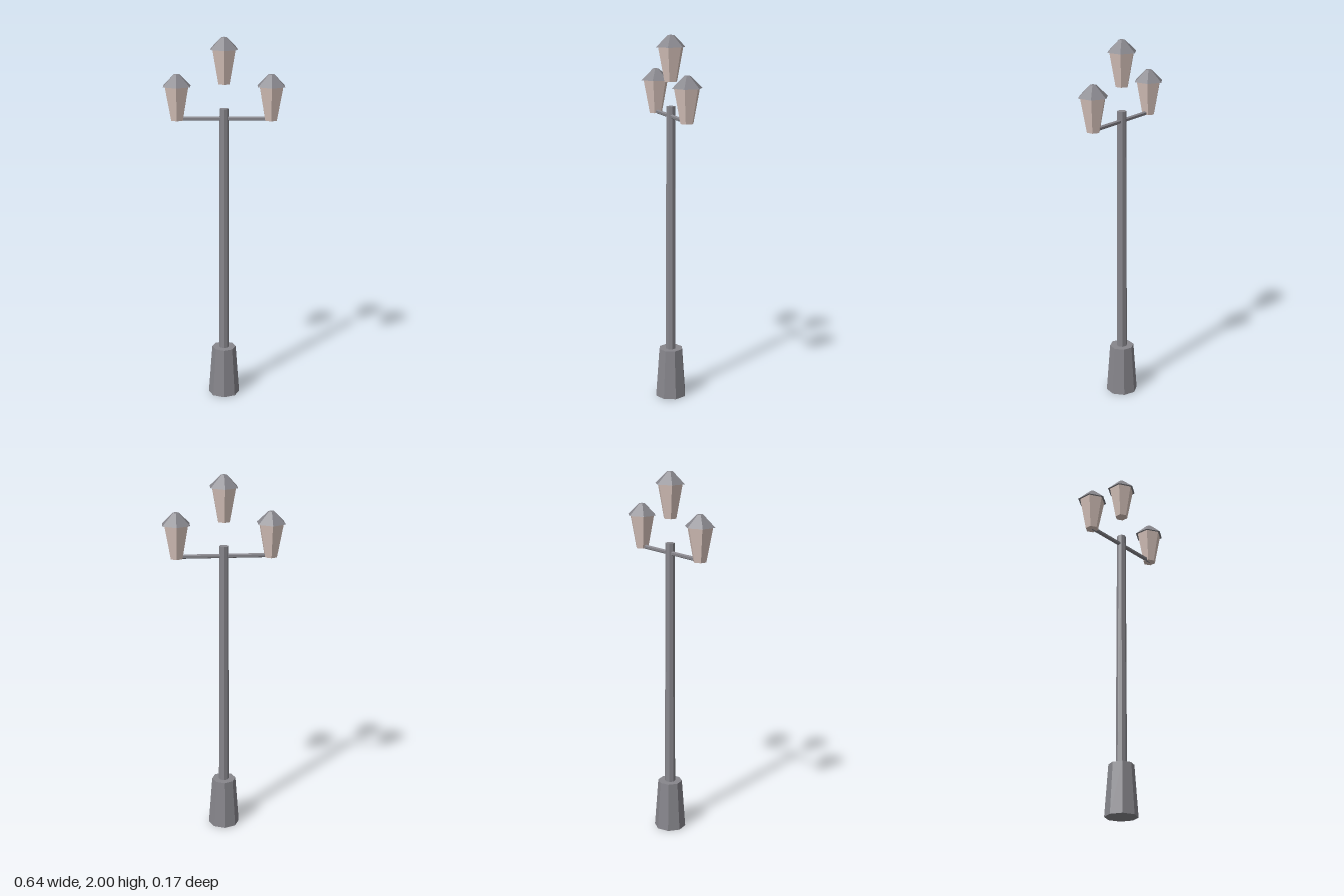
import * as THREE from 'three';

export function createModel() {
  const model = new THREE.Group();
  model.name = 'streetLamp';

  const material = (name, color) => {
    const m = new THREE.MeshStandardMaterial({ color, flatShading: true });
    m.name = name;
    return m;
  };
  const metal = material('grey metal', 0x87868c);
  const glass = material('pale glass', 0xd8c4bc);

  // Upright faceted cylinder spanning y0 to y1
  function prism(name, mat, rTop, rBottom, y0, y1, sides, parent) {
    const geometry = new THREE.CylinderGeometry(rTop, rBottom, y1 - y0, sides);
    geometry.translate(0, (y0 + y1) / 2, 0);
    const mesh = new THREE.Mesh(geometry, mat);
    mesh.name = name;
    parent.add(mesh);
  }

  // Octagonal foot and slightly tapered pole
  prism('base', metal, 0.067, 0.087, 0, 0.275, 8, model);
  prism('pole', metal, 0.025, 0.029, 0.27, 1.628, 8, model);

  // Hexagonal crossbar with an edge facing up
  const barGeometry = new THREE.CylinderGeometry(0.0115, 0.0115, 0.5, 6);
  barGeometry.rotateY(Math.PI / 6).rotateZ(Math.PI / 2);
  const bar = new THREE.Mesh(barGeometry, metal);
  bar.name = 'crossbar';
  bar.position.y = 1.575;
  model.add(bar);

  // Three lanterns, the middle one floating above the pole
  function lantern(name, x, y) {
    const group = new THREE.Group();
    group.name = name;
    group.position.set(x, y, 0);
    prism('lanternGlass', glass, 0.07, 0.035, 0, 0.18, 6, group);
    prism('lanternRoof', metal, 0.017, 0.082, 0.18, 0.242, 6, group);
    model.add(group);
  }
  lantern('leftLantern', 0.248, 1.566);
  lantern('rightLantern', -0.248, 1.566);
  lantern('topLantern', 0, 1.758);

  return model;
}
